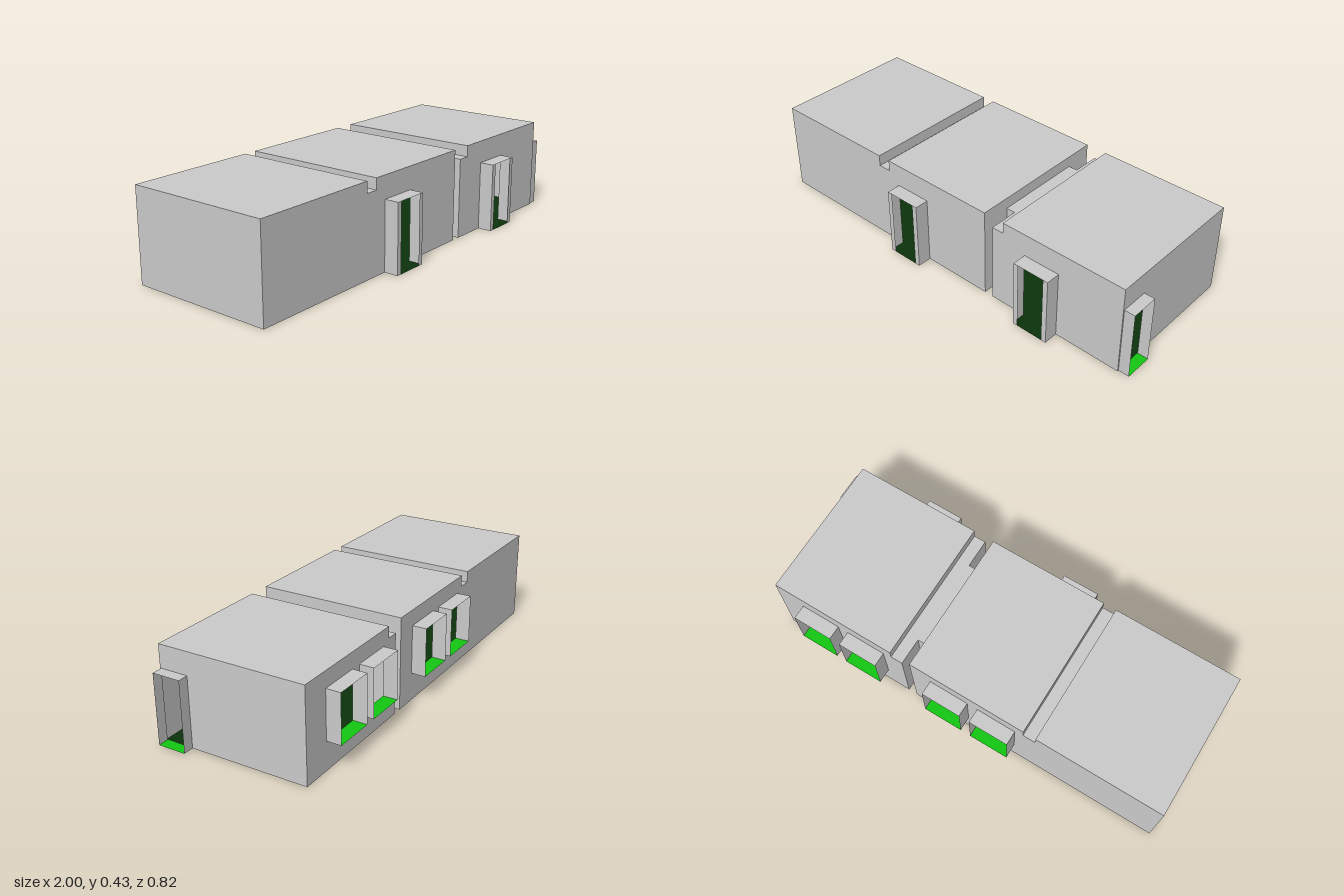
import * as THREE from 'three';

const sheet = (color) => new THREE.MeshStandardMaterial({ color, side: THREE.DoubleSide });

const FRONT = 0.343, BACK = -0.343, OUT = 0.41;
const ROOF = 0.427, LOW = 0.375, DOOR_H = 0.322;
const SILL = 0.13, HEAD = 0.354;

export function createModel() {
  const model = new THREE.Group();
  const grey = sheet(0xcccccc), floorGreen = sheet(0x0c330c), sillGreen = sheet(0x12c812);

  const add = (name, geometry, material = grey, parent = model) => {
    const mesh = new THREE.Mesh(geometry, material);
    mesh.name = name;
    parent.add(mesh);
    return mesh;
  };
  const path = (pts) => pts.map(([a, b]) => new THREE.Vector2(a, b));
  const rect = (a0, b0, a1, b1) => [[a0, b0], [a1, b0], [a1, b1], [a0, b1]];

  // Upright sheet facing z, drawn in x and y
  const zSheet = (name, pts, z, holes = [], parent = model) => {
    const shape = new THREE.Shape(path(pts));
    holes.forEach((h) => shape.holes.push(new THREE.Path(path(h))));
    return add(name, new THREE.ShapeGeometry(shape).translate(0, 0, z), grey, parent);
  };
  // Upright sheet facing x, drawn in z and y
  const xSheet = (name, pts, x, parent = model) =>
    add(name, new THREE.ShapeGeometry(new THREE.Shape(path(pts)))
      .rotateY(-Math.PI / 2).translate(x, 0, 0), grey, parent);
  // Level sheet
  const ySheet = (name, x0, z0, x1, z1, y, material = grey, parent = model) =>
    add(name, new THREE.PlaneGeometry(x1 - x0, z1 - z0).rotateX(-Math.PI / 2)
      .translate((x0 + x1) / 2, y, (z0 + z1) / 2), material, parent);

  const doors = [[-0.272, -0.097], [0.459, 0.635]];
  const windows = [[-0.29, -0.1], [-0.05, 0.14], [0.385, 0.575], [0.625, 0.815]];
  const inRange = (list, x0, x1) => list.filter(([a]) => a > x0 && a < x1);

  // Long walls and floors of the two blocks, with stepped upper edges
  const blocks = [
    { x0: -1, x1: 0.242, top: [[0.242, ROOF], [-0.33, ROOF], [-0.33, LOW], [-0.39, LOW], [-0.39, ROOF], [-1, ROOF]] },
    { x0: 0.285, x1: 0.95, top: [[0.95, ROOF], [0.342, ROOF], [0.342, LOW], [0.285, LOW]] },
  ];
  for (const { x0, x1, top } of blocks) {
    const notches = inRange(doors, x0, x1).flatMap(([a, b]) => [[a, 0], [a, DOOR_H], [b, DOOR_H], [b, 0]]);
    zSheet('frontWall', [[x0, 0], ...notches, [x1, 0], ...top], FRONT);
    zSheet('backWall', [[x0, 0], [x1, 0], ...top], BACK,
      inRange(windows, x0, x1).map(([a, b]) => rect(a, SILL, b, HEAD)));
    ySheet('floor', x0, BACK, x1, FRONT, 0, floorGreen);
  }

  // Roofs, and the steps between the levels
  for (const [x0, x1, y] of [[-1, -0.39, ROOF], [-0.39, -0.33, LOW], [-0.33, 0.242, ROOF],
    [0.285, 0.342, LOW], [0.342, 0.95, ROOF]]) ySheet('roof', x0, BACK, x1, FRONT, y);
  for (const x of [-0.39, -0.33, 0.242, 0.342]) xSheet('roofStep', rect(BACK, LOW, FRONT, ROOF), x);

  // End walls
  const S0 = 0.207, S1 = 0.337;
  xSheet('endWall', rect(BACK, 0, FRONT, ROOF), -1);
  xSheet('doorEndWall', [[BACK, 0], [S0, 0], [S0, DOOR_H], [S1, DOOR_H], [S1, 0],
    [FRONT, 0], [FRONT, ROOF], [BACK, ROOF]], 0.95);

  // Narrow passage joining the two blocks
  const P0 = -0.215, P1 = 0.205;
  for (const x of [0.242, 0.285]) {
    xSheet('passageEndWall', rect(BACK, 0, P0, LOW), x);
    xSheet('passageEndWall', rect(P1, 0, FRONT, LOW), x);
  }
  for (const z of [P0, P1]) zSheet('passageWall', rect(0.242, 0, 0.285, LOW), z);
  ySheet('passageRoof', 0.242, P0, 0.285, P1, LOW);
  ySheet('passageFloor', 0.242, P0, 0.285, P1, 0, floorGreen);

  // Projecting front door surrounds
  for (const [a, b] of doors) {
    const door = new THREE.Group();
    door.name = 'frontDoorway';
    model.add(door);
    for (const x of [a, b]) xSheet('doorSide', rect(FRONT, 0, OUT, DOOR_H), x, door);
    zSheet('doorJamb', rect(a, 0, a + 0.024, DOOR_H), OUT, [], door);
    zSheet('doorJamb', rect(b - 0.024, 0, b, DOOR_H), OUT, [], door);
    ySheet('doorHead', a, FRONT, b, OUT, DOOR_H, grey, door);
    ySheet('doorSill', a, FRONT, b, OUT, 0, floorGreen, door);
  }

  // Projecting side door surround
  const side = new THREE.Group();
  side.name = 'sideDoorway';
  model.add(side);
  for (const z of [S0, S1]) zSheet('doorSide', rect(0.95, 0, 1, DOOR_H), z, [], side);
  ySheet('doorHead', 0.95, S0, 1, S1, DOOR_H, grey, side);
  ySheet('doorSill', 0.95, S0, 1, S1, 0, sillGreen, side);

  // Projecting window surrounds
  for (const [a, b] of windows) {
    const win = new THREE.Group();
    win.name = 'window';
    model.add(win);
    for (const x of [a, b]) xSheet('windowSide', rect(-OUT, SILL, BACK, HEAD), x, win);
    ySheet('windowHead', a, -OUT, b, BACK, HEAD, grey, win);
    ySheet('windowSill', a, -OUT, b, BACK, SILL, sillGreen, win);
  }
  return model;
}
